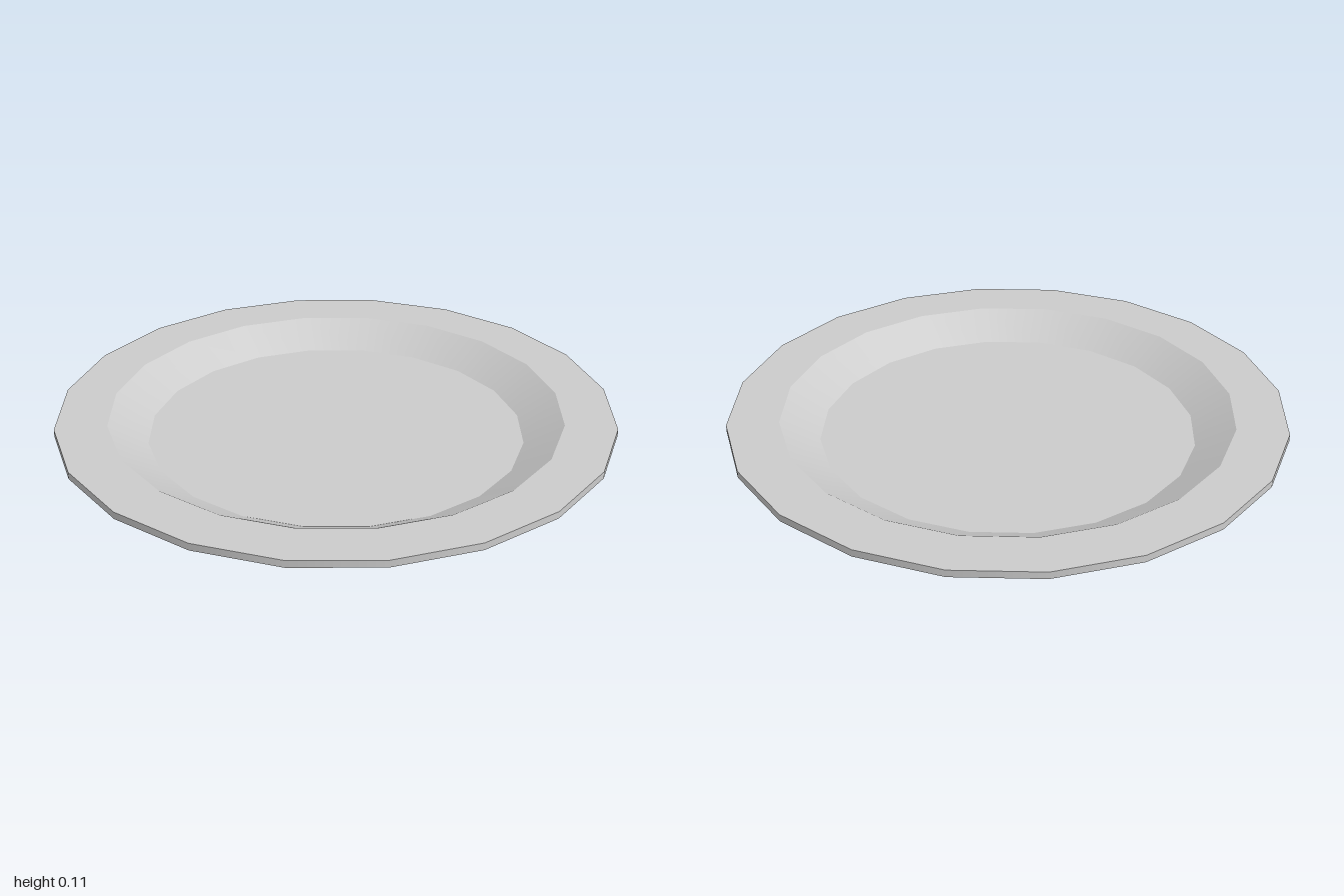
import * as THREE from 'three';
import { mergeGeometries } from 'three/addons/utils/BufferGeometryUtils.js';

const SIDES = 20;

// Each profile step is its own lathe band: smooth around, crisp between bands.
function bandedLathe(profile) {
  const points = profile.map(([r, y]) => new THREE.Vector2(r, y));
  const bands = [];
  for (let i = 0; i < points.length - 1; i++) {
    bands.push(new THREE.LatheGeometry([points[i], points[i + 1]], SIDES));
  }
  return mergeGeometries(bands);
}

export function createModel() {
  const group = new THREE.Group();
  group.name = 'plate';
  const material = new THREE.MeshStandardMaterial({ color: 0xcccccc });

  const addPart = (name, profile) => {
    const mesh = new THREE.Mesh(bandedLathe(profile), material);
    mesh.name = name;
    group.add(mesh);
  };

  // Base and sloping outer wall
  addPart('base', [[0, 0], [0.715, 0], [0.77, 0.075]]);
  // Wide rim: underside, edge and flat top
  addPart('rim', [[0.77, 0.075], [1, 0.081], [1, 0.107], [0.815, 0.107]]);
  // Inner slope down to the flat floor
  addPart('well', [[0.815, 0.107], [0.675, 0.026], [0, 0.026]]);

  return group;
}
